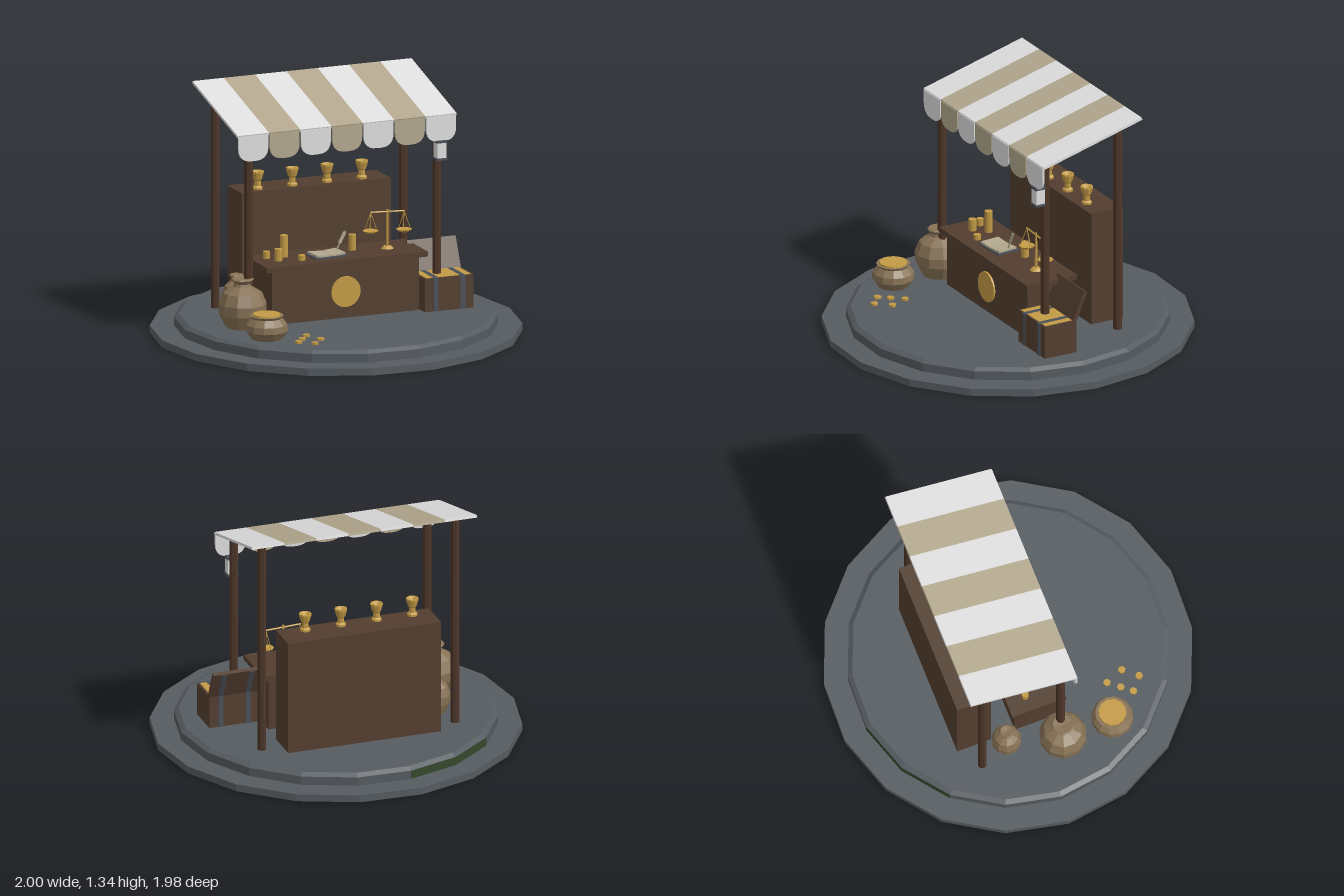
import * as THREE from 'three';

const mat = (name, color) => Object.assign(new THREE.MeshStandardMaterial({ color }), { name });
const M = {
  stone: mat('slate stone', 0x555b60),
  wood: mat('counter wood', 0x533e2f),
  post: mat('post wood', 0x4d3628),
  gold: mat('gold', 0xc29a45),
  white: mat('white canvas', 0xdedede),
  tan: mat('tan canvas', 0xb3a88e),
  clay: mat('clay', 0x877255),
  iron: mat('iron', 0x4a5058),
  moss: mat('moss', 0x35482b),
};
const DEG = Math.PI / 180;
const GROUND = 0.105;

// Faceted normals for low-poly parts
function facet(geo) {
  const g = geo.index ? geo.toNonIndexed() : geo;
  g.computeVertexNormals();
  return g;
}
function add(parent, name, geo, material, x = 0, y = 0, z = 0) {
  const m = new THREE.Mesh(geo, material);
  m.name = name;
  m.position.set(x, y, z);
  parent.add(m);
  return m;
}
// Box and cylinder placed by the height of their underside
const box = (p, name, material, w, h, d, x, y, z) =>
  add(p, name, new THREE.BoxGeometry(w, h, d), material, x, y + h / 2, z);
const cyl = (p, name, material, rTop, rBottom, h, sides, x, y, z) =>
  add(p, name, facet(new THREE.CylinderGeometry(rTop, rBottom, h, sides)), material, x, y + h / 2, z);
const lathe = (p, name, material, profile, sides, x, y, z) =>
  add(p, name, facet(new THREE.LatheGeometry(profile.map(([r, h]) => new THREE.Vector2(r, h)), sides)), material, x, y, z);
// Thin rod between two points
function rod(p, name, material, a, b, r) {
  const A = new THREE.Vector3(...a), B = new THREE.Vector3(...b), d = B.clone().sub(A);
  const m = add(p, name, facet(new THREE.CylinderGeometry(r, r, d.length(), 6)), material);
  m.position.copy(A).add(B).multiplyScalar(0.5);
  m.quaternion.setFromUnitVectors(new THREE.Vector3(0, 1, 0), d.normalize());
  return m;
}

function buildBase(root) {
  const g = new THREE.Group();
  g.name = 'base';
  cyl(g, 'lowerStep', M.stone, 1, 1, 0.04, 18, 0, 0, 0).rotation.y = 8 * DEG;
  cyl(g, 'upperStep', M.stone, 0.87, 0.87, 0.048, 18, 0, 0.04, 0).rotation.y = 8 * DEG;
  cyl(g, 'upperBevel', M.stone, 0.845, 0.87, 0.017, 18, 0, 0.088, 0).rotation.y = 8 * DEG;
  // Moss on two facets of the step and a wedge of the underside
  add(g, 'mossSide', facet(new THREE.CylinderGeometry(0.872, 0.872, 0.047, 2, 1, true, 188 * DEG, 40 * DEG)), M.moss, 0, 0.064, 0);
  const wedge = new THREE.Shape([[-0.127, -0.09], [-0.7, -0.51], [-0.53, -0.69], [-0.46, -0.7]].map(p => new THREE.Vector2(...p)));
  const patch = add(g, 'mossUnderside', new THREE.ShapeGeometry(wedge), M.moss, 0, -0.001, 0);
  patch.rotation.x = Math.PI / 2;
  root.add(g);
}

function buildAwning(root) {
  const g = new THREE.Group();
  g.name = 'awning';
  const w = 1.28 / 7, z0 = 0.15, z1 = -0.46, y0 = 1.17, y1 = 1.335;
  const len = Math.hypot(z1 - z0, y1 - y0), tilt = Math.atan2(y1 - y0, z0 - z1);
  // One scallop: straight top, rounded lower corners
  const hw = 0.087, drop = 0.14, r = 0.075;
  const s = new THREE.Shape();
  s.moveTo(-hw, 0);
  s.lineTo(-hw, -drop + r);
  s.quadraticCurveTo(-hw, -drop, -hw + r, -drop);
  s.lineTo(hw - r, -drop);
  s.quadraticCurveTo(hw, -drop, hw, -drop + r);
  s.lineTo(hw, 0);
  const scallop = new THREE.ExtrudeGeometry(s, { depth: 0.012, bevelEnabled: false, curveSegments: 6 });
  for (let i = 0; i < 7; i++) {
    const x = (i - 3) * w, m = i % 2 ? M.tan : M.white;
    const roof = add(g, 'roofStripe', new THREE.BoxGeometry(w, 0.014, len), m, x, (y0 + y1) / 2, (z0 + z1) / 2);
    roof.rotation.x = tilt;
    add(g, 'scallop', scallop, m, x, y0, z0 - 0.008);
  }
  for (const x of [-0.55, 0.55]) {
    cyl(g, 'frontPost', M.post, 0.025, 0.025, 1.05, 8, x, GROUND, 0.09);
    cyl(g, 'backPost', M.post, 0.025, 0.025, 1.195, 8, x, GROUND, -0.36);
  }
  // Lantern hung from the front edge
  box(g, 'lanternGlass', M.white, 0.052, 0.085, 0.052, 0.55, 0.938, 0.132);
  box(g, 'lanternFoot', M.iron, 0.062, 0.012, 0.062, 0.55, 0.926, 0.132);
  box(g, 'lanternCap', M.iron, 0.062, 0.014, 0.062, 0.55, 1.022, 0.132);
  rod(g, 'lanternHook', M.iron, [0.55, 1.036, 0.135], [0.55, 1.16, 0.145], 0.004);
  root.add(g);
}

function buildCounter(root) {
  const g = new THREE.Group();
  g.name = 'counter';
  box(g, 'counterBody', M.wood, 0.86, 0.3, 0.255, 0, GROUND, 0);
  box(g, 'counterTop', M.wood, 0.94, 0.028, 0.31, 0, 0.402, 0);
  const disc = add(g, 'roundEmblem', facet(new THREE.CylinderGeometry(0.085, 0.085, 0.012, 20)), M.gold, 0, 0.25, 0.132);
  disc.rotation.x = Math.PI / 2;
  // Coin stacks: x, z, radius, height
  for (const [x, z, r, h] of [[-0.385, -0.05, 0.019, 0.04], [-0.345, 0.02, 0.022, 0.065], [-0.285, -0.045, 0.022, 0.12],
    [-0.225, 0.06, 0.02, 0.028], [0.112, -0.04, 0.021, 0.086]])
    cyl(g, 'coinStack', M.gold, r, r, h, 10, x, 0.43, z);
  // Ledger and quill
  const book = new THREE.Group();
  book.name = 'ledger';
  box(book, 'cover', M.iron, 0.19, 0.008, 0.13, 0, 0, 0);
  for (const s of [-1, 1]) box(book, 'page', M.tan, 0.085, 0.01, 0.115, s * 0.044, 0.008, 0).rotation.z = s * 0.06;
  book.position.set(-0.065, 0.43, 0.02);
  book.rotation.y = 0.08;
  g.add(book);
  rod(g, 'quillStem', M.tan, [0, 0.445, 0], [0.055, 0.55, 0], 0.004);
  const feather = box(g, 'quillFeather', M.tan, 0.018, 0.065, 0.005, 0.036, 0.483, 0);
  feather.rotation.z = -0.48;
  root.add(g);
}

function buildScale(root) {
  const g = new THREE.Group();
  g.name = 'balanceScale';
  cyl(g, 'scaleFoot', M.gold, 0.02, 0.035, 0.014, 10, 0, 0, 0);
  cyl(g, 'scalePost', M.gold, 0.006, 0.008, 0.205, 8, 0, 0.01, 0);
  rod(g, 'beam', M.gold, [-0.1, 0.207, 0], [0.1, 0.197, 0], 0.005);
  for (const s of [-1, 1]) {
    const x = s * 0.098, top = s < 0 ? 0.207 : 0.197, pan = top - 0.1;
    lathe(g, 'pan', M.gold, [[0, -0.018], [0.025, -0.014], [0.044, 0], [0.038, 0], [0, -0.008]], 10, x, pan, 0);
    for (let k = 0; k < 3; k++) {
      const a = k * 120 * DEG;
      rod(g, 'panCord', M.gold, [x, top, 0], [x + 0.036 * Math.cos(a), pan, 0.036 * Math.sin(a)], 0.002);
    }
  }
  g.position.set(0.3, 0.43, 0);
  root.add(g);
}

function buildShelf(root) {
  const g = new THREE.Group();
  g.name = 'backCabinet';
  box(g, 'cabinet', M.wood, 0.87, 0.64, 0.195, 0, GROUND, -0.362);
  const goblet = [[0, 0], [0.028, 0], [0.028, 0.012], [0.018, 0.02], [0.018, 0.048], [0.024, 0.055], [0.034, 0.09], [0.034, 0.1], [0.026, 0.1], [0, 0.08]];
  for (let i = 0; i < 4; i++) lathe(g, 'goblet', M.gold, goblet, 10, -0.32 + i * 0.203, 0.745, -0.32);
  root.add(g);
}

function buildChest(root) {
  const g = new THREE.Group();
  g.name = 'treasureChest';
  box(g, 'chestBody', M.wood, 0.285, 0.172, 0.195, 0, 0, 0);
  for (const s of [-1, 1]) {
    box(g, 'sideRim', M.wood, 0.014, 0.018, 0.195, s * 0.1355, 0.165, 0);
    box(g, 'endRim', M.wood, 0.285, 0.018, 0.012, 0, 0.165, s * 0.0915);
    box(g, 'strap', M.iron, 0.028, 0.186, 0.205, s * 0.078, 0, 0);
  }
  box(g, 'coinFill', M.gold, 0.26, 0.024, 0.176, 0, 0.161, 0);
  // Open lid leaning back
  const lid = new THREE.Group();
  lid.name = 'lid';
  box(lid, 'lidBoard', M.wood, 0.285, 0.175, 0.022, 0, 0, 0);
  for (const s of [-1, 1]) box(lid, 'lidStrap', M.iron, 0.028, 0.172, 0.005, s * 0.078, 0, -0.012);
  lid.position.set(0, 0.178, -0.085);
  lid.rotation.x = -0.42;
  g.add(lid);
  g.position.set(0.58, GROUND, 0.092);
  root.add(g);
}

function buildPots(root) {
  const jar = [[0, 0], [0.09, 0], [0.128, 0.075], [0.13, 0.13], [0.105, 0.19], [0.05, 0.225], [0.045, 0.24], [0.062, 0.262], [0.055, 0.268], [0, 0.262]];
  lathe(root, 'largeJar', M.clay, jar, 10, -0.585, GROUND, 0.09);
  lathe(root, 'smallJar', M.clay, jar.map(([r, h]) => [r * 0.62, h * 0.8]), 10, -0.495, GROUND, -0.2);
  const bowl = [[0, 0], [0.085, 0], [0.115, 0.045], [0.112, 0.08], [0.085, 0.115], [0.093, 0.128], [0.078, 0.128], [0, 0.118]];
  lathe(root, 'openPot', M.clay, bowl, 12, -0.57, GROUND, 0.38);
  cyl(root, 'potCoins', M.gold, 0.075, 0.078, 0.016, 12, -0.57, GROUND + 0.12, 0.38);
  // Spilled coins
  [[-0.36, 0.43], [-0.41, 0.49], [-0.455, 0.545], [-0.32, 0.53], [-0.385, 0.605]].forEach(([x, z], i) => {
    cyl(root, 'looseCoin', M.gold, 0.021, 0.021, 0.012, 6, x, GROUND, z).rotation.y = i * 0.7;
  });
}

export function createModel() {
  const root = new THREE.Group();
  root.name = 'marketStall';
  [buildBase, buildAwning, buildCounter, buildScale, buildShelf, buildChest, buildPots].forEach(f => f(root));
  return root;
}
